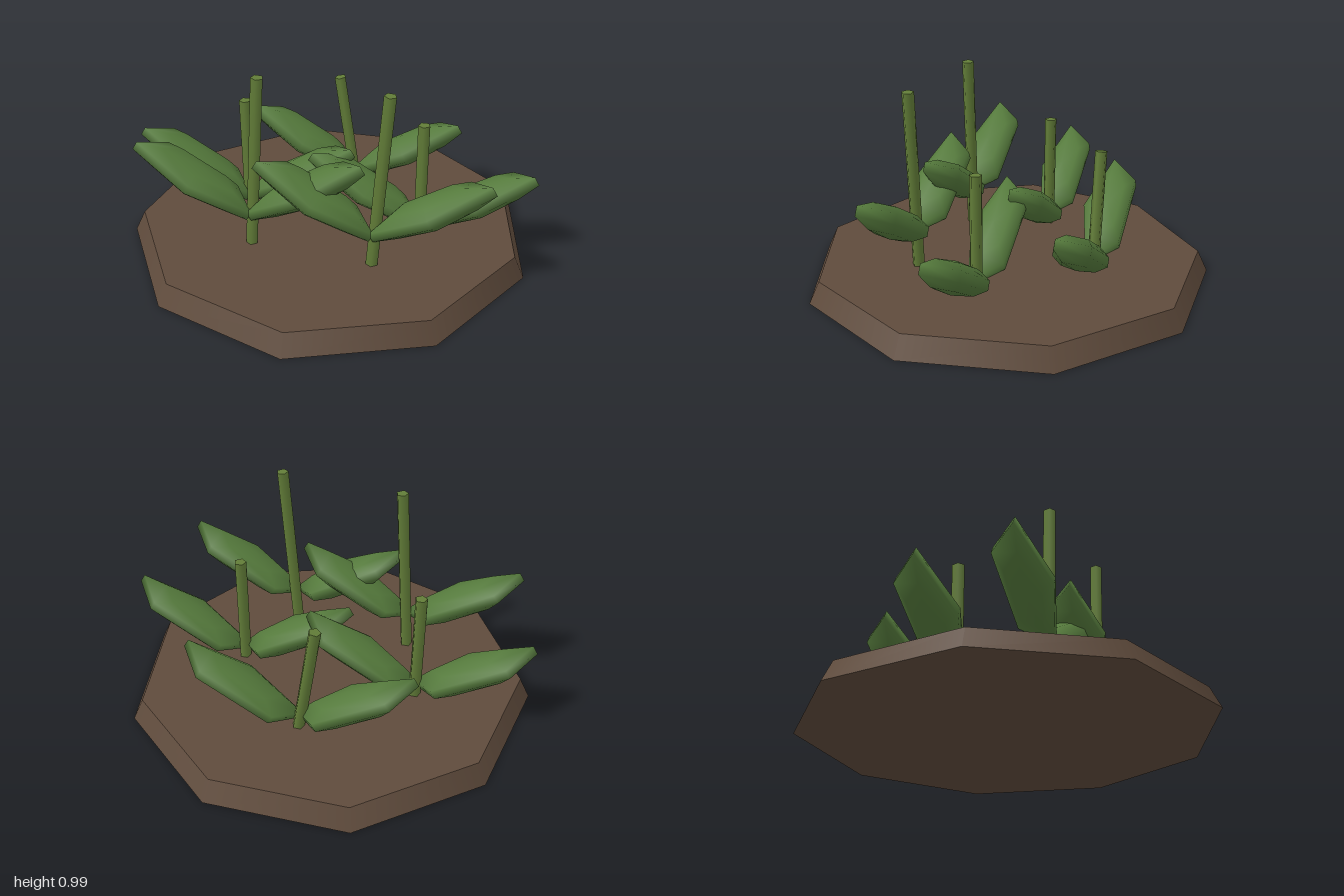
import * as THREE from 'three';

const mat = (color) => new THREE.MeshStandardMaterial({ color });

export function createModel() {
  const model = new THREE.Group();
  const soil = mat(0x5f4b3c), stemGreen = mat(0x627d38), leafGreen = mat(0x557a3c);

  // Nine-sided mound of soil
  const mound = new THREE.Mesh(new THREE.CylinderGeometry(0.945, 0.995, 0.105, 9), soil);
  mound.name = 'soilMound';
  mound.position.set(-0.008, 0.0525, -0.03);
  model.add(mound);

  // Low-poly leaf: flattened five-sided spheroid with a corner facing +z
  const leafGeo = new THREE.SphereGeometry(1, 5, 5, Math.PI / 2, Math.PI * 2);
  leafGeo.scale(0.35, 0.075, 0.128);

  // Each plant: base x, z, stem top x, stem top y, leaf centre y
  const plants = [
    [-0.33, 0.275, -0.275, 0.985, 0.43],
    [0.268, 0.33, 0.335, 0.985, 0.43],
    [-0.45, -0.107, -0.457, 0.67, 0.295],
    [0.443, -0.033, 0.443, 0.67, 0.295],
    [0.033, -0.475, -0.055, 0.67, 0.295],
  ];

  for (const [x, z, topX, topY, leafY] of plants) {
    const plant = new THREE.Group();
    plant.name = 'plant';
    plant.position.set(x, 0, z);

    // Leaning stem, rooted in the soil
    const bottomY = 0.08;
    const dx = topX - x, dy = topY - bottomY;
    const stem = new THREE.Mesh(new THREE.CylinderGeometry(0.03, 0.03, Math.hypot(dx, dy), 5), stemGreen);
    stem.name = 'stem';
    stem.position.set(dx / 2, (topY + bottomY) / 2, 0);
    stem.rotation.z = -Math.atan2(dx, dy);
    plant.add(stem);

    // Mirrored pair of rising leaves
    for (const side of [-1, 1]) {
      const leaf = new THREE.Mesh(leafGeo, leafGreen);
      leaf.name = side > 0 ? 'leftLeaf' : 'rightLeaf';
      leaf.position.set(side * 0.272, leafY, 0);
      leaf.rotation.z = side * 0.53;
      plant.add(leaf);
    }
    model.add(plant);
  }
  return model;
}
